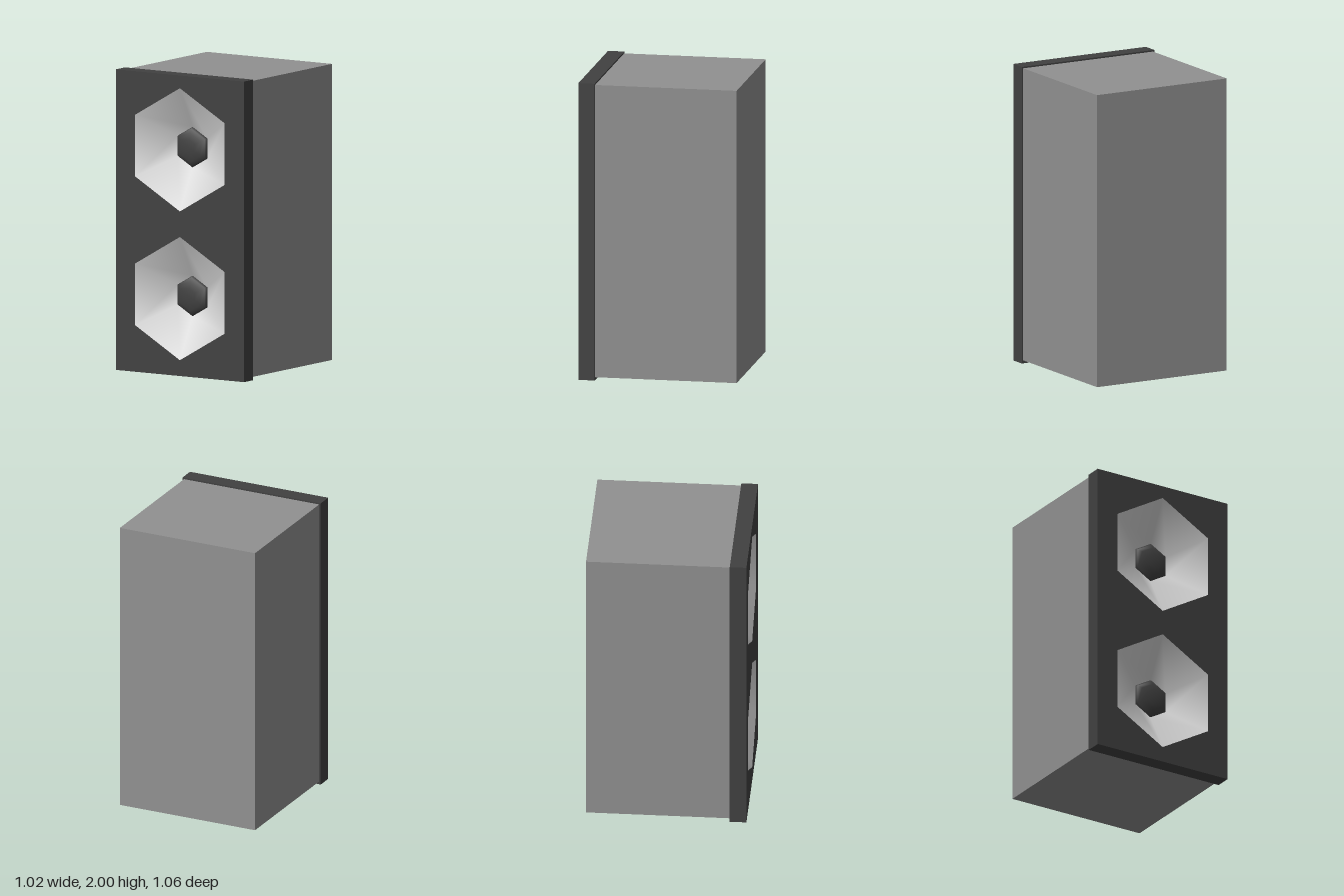
import * as THREE from 'three';

const material = (name, color, side = THREE.FrontSide) => {
  const m = new THREE.MeshStandardMaterial({ color, side });
  m.name = name;
  return m;
};

export function createModel() {
  const cabinetGrey = material('cabinet grey', 0x919191);
  const charcoal = material('charcoal', 0x414141);
  const coneGrey = material('cone light grey', 0xd8d8d8, THREE.DoubleSide);

  const model = new THREE.Group();
  model.name = 'loudspeaker';
  const add = (name, geometry, mat, parent = model) => {
    const mesh = new THREE.Mesh(geometry, mat);
    mesh.name = name;
    parent.add(mesh);
    return mesh;
  };

  const front = 0.53, panelDepth = 0.11, coneDepth = 0.15;
  const rim = 0.41, throat = 0.135;
  const driverHeights = [0.515, 1.505];

  // Cabinet, open behind the front panel so the cones can sink into it
  const box = new THREE.BoxGeometry(0.994, 1.97, 0.95);
  const index = Array.from(box.index.array);
  index.splice(24, 6); // drop the +z face
  box.setIndex(index);
  box.clearGroups();
  add('cabinet', box, cabinetGrey).position.set(0, 1.005, -0.055);

  // Front panel with two hexagonal openings
  const panel = new THREE.Shape([[-0.508, 0], [0.508, 0], [0.508, 2], [-0.508, 2]]
    .map(([x, y]) => new THREE.Vector2(x, y)));
  for (const y of driverHeights) {
    const corners = [];
    for (let i = 0; i < 6; i++) {
      const a = -i * Math.PI / 3;
      corners.push(new THREE.Vector2(rim * Math.sin(a), y + rim * Math.cos(a)));
    }
    panel.holes.push(new THREE.Path(corners));
  }
  const panelGeometry = new THREE.ExtrudeGeometry(panel, { depth: panelDepth, bevelEnabled: false });
  add('frontPanel', panelGeometry, charcoal).position.z = front - panelDepth;

  // Drivers: a recessed six-sided cone with a low dust cap
  const coneGeometry = new THREE.CylinderGeometry(rim, throat, coneDepth, 6, 1, true)
    .rotateX(Math.PI / 2);
  const capGeometry = new THREE.SphereGeometry(throat, 6, 4, 0, Math.PI * 2, 0, Math.PI / 2)
    .rotateY(Math.PI / 2).scale(1, 0.3, 1).rotateX(Math.PI / 2);
  driverHeights.forEach((y, i) => {
    const driver = new THREE.Group();
    driver.name = i ? 'upperDriver' : 'lowerDriver';
    driver.position.set(0, y, front);
    add('speakerCone', coneGeometry, coneGrey, driver).position.z = -coneDepth / 2;
    add('dustCap', capGeometry, charcoal, driver).position.z = -coneDepth;
    model.add(driver);
  });

  return model;
}
